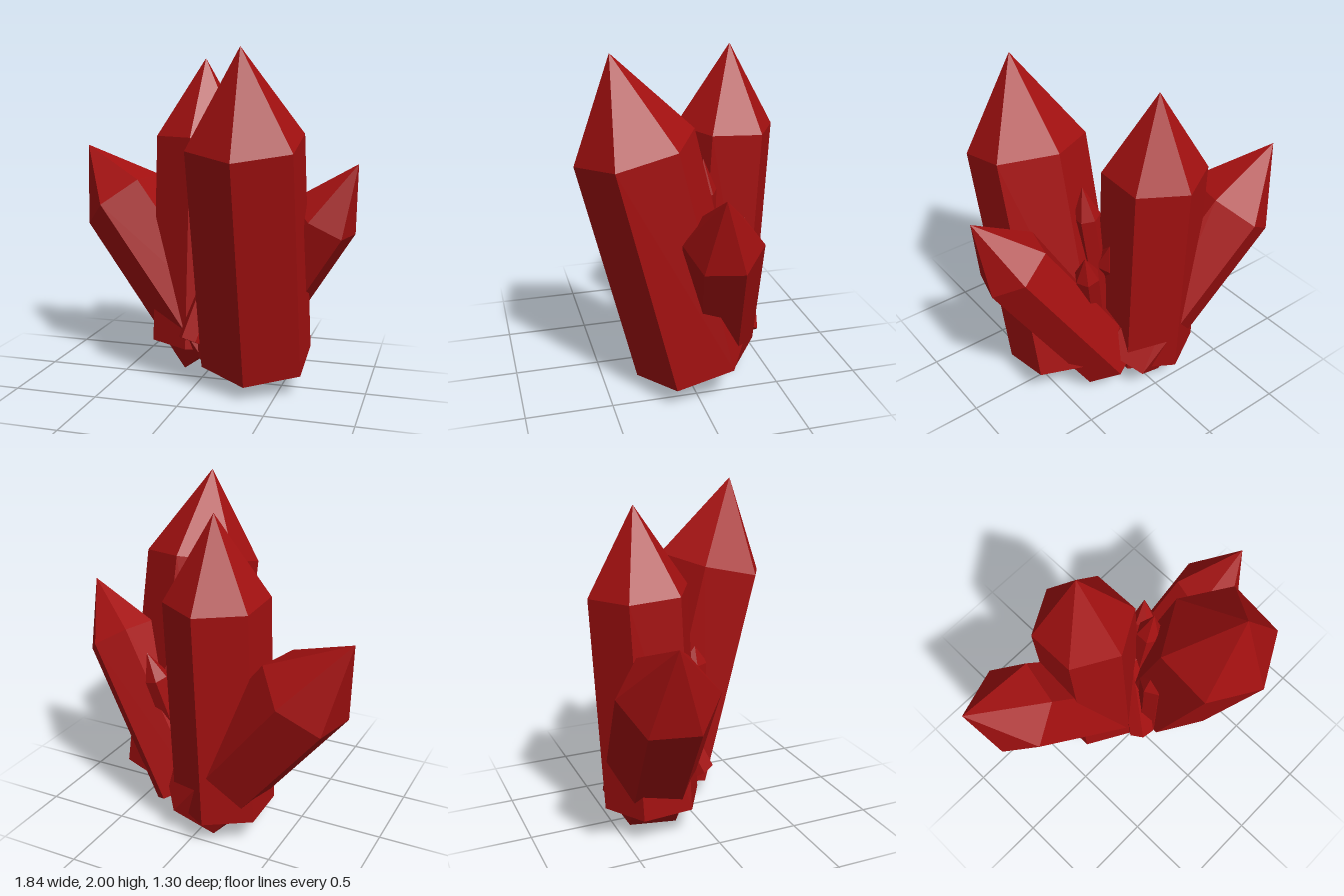
import * as THREE from 'three';

const V = (a) => new THREE.Vector3(...a);

// Six-sided prism with a pointed top; "corner" is the direction of one of its vertical edges.
function crystal(name, base, tip, radius, point, corner, material) {
  const axis = V(tip).sub(V(base));
  const length = axis.length();
  axis.normalize();
  const profile = [[0, 0], [radius, 0], [radius, length - point], [0, length]]
    .map(([r, y]) => new THREE.Vector2(r, y));
  const geometry = new THREE.LatheGeometry(profile, 6).toNonIndexed();
  geometry.computeVertexNormals();

  const z = V(corner);
  z.addScaledVector(axis, -z.dot(axis)).normalize();
  const x = new THREE.Vector3().crossVectors(axis, z);
  geometry.applyMatrix4(new THREE.Matrix4().makeBasis(x, axis, z).setPosition(V(base)));

  const mesh = new THREE.Mesh(geometry, material);
  mesh.name = name;
  return mesh;
}

export function createModel() {
  const group = new THREE.Group();
  group.name = 'crystalCluster';
  const red = new THREE.MeshStandardMaterial({ color: 0xa31010, flatShading: true });
  red.name = 'crystalRed';

  // name, base centre, tip, radius, point height, edge direction
  const crystals = [
    // large crystals
    ['frontCrystal', [0.34, 0.165, -0.015], [0.34, 2.0, 0.44], 0.345, 0.53, [0, 0, 1]],
    ['backCrystal', [-0.1, 0.165, -0.265], [-0.08, 1.945, -0.35], 0.3, 0.485, [0, 0, 1]],
    ['rightLeaningCrystal', [0.059, 0.157, -0.234], [-0.92, 1.38, -0.43], 0.283, 0.445, [0.055, 0.005, -0.275]],
    ['leftLeaningCrystal', [0.175, 0.165, -0.225], [0.92, 1.35, -0.025], 0.219, 0.387, [0.055, 0.005, -0.21]],
    // thin shards filling the gaps
    ['frontShard', [0.08, 0.15, 0.05], [0.08, 1.13, 0.08], 0.09, 0.2, [1, 0, 0]],
    ['backShard', [0.1, 0.15, -0.15], [0.25, 1.36, -0.1], 0.08, 0.2, [0, 0, 1]],
    ['crossingShard', [-0.04, 0.25, 0.08], [0.17, 1.0, -0.25], 0.09, 0.17, [1, 0, 0]],
    ['leaningShard', [0.18, 0.15, -0.12], [0.39, 1.05, -0.31], 0.075, 0.17, [1, 0, 0]],
  ];
  for (const c of crystals) group.add(crystal(...c, red));
  return group;
}
